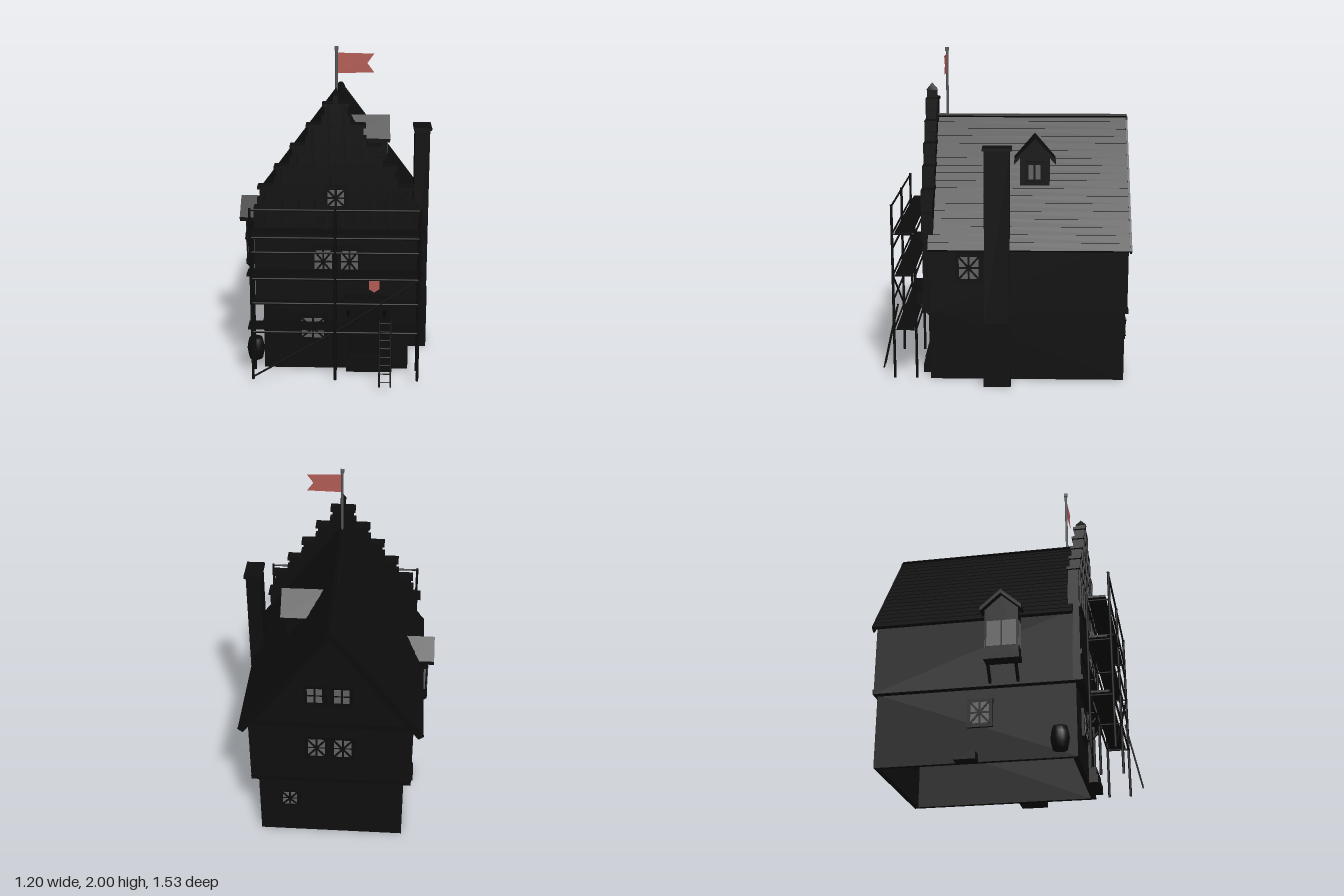
import * as THREE from 'three';

const CX = 0.015; // ridge line of the house

function makeMaterials() {
  const make = (name, color, side = THREE.FrontSide) => {
    const m = new THREE.MeshStandardMaterial({ color, side });
    m.name = name;
    return m;
  };
  return {
    wall: make('sooty wall', 0x0e0e0e),
    roof: make('black tile', 0x0d0d0d),
    wood: make('dark timber', 0x0c0c0c),
    glass: make('grey glass', 0x626264),
    iron: make('grey iron', 0x58585c),
    red: make('faded red', 0xb35c55, THREE.DoubleSide),
  };
}

export function createModel() {
  const M = makeMaterials();
  const root = new THREE.Group();
  root.name = 'gabledHouse';

  const add = (name, geo, mat, parent = root) => {
    const mesh = new THREE.Mesh(geo, mat);
    mesh.name = name;
    parent.add(mesh);
    return mesh;
  };
  // box given by its lower and upper limits on each axis
  const block = (name, mat, x0, x1, y0, y1, z0, z1, parent = root) => {
    const m = add(name, new THREE.BoxGeometry(x1 - x0, y1 - y0, z1 - z0), mat, parent);
    m.position.set((x0 + x1) / 2, (y0 + y1) / 2, (z0 + z1) / 2);
    return m;
  };
  // round bar between two points
  const bar = (name, mat, a, b, r = 0.007, parent = root) => {
    const p = new THREE.Vector3(...a), d = new THREE.Vector3(...b).sub(p);
    const m = add(name, new THREE.CylinderGeometry(r, r, d.length(), 8), mat, parent);
    m.position.copy(p).addScaledVector(d, 0.5);
    m.quaternion.setFromUnitVectors(new THREE.Vector3(0, 1, 0), d.normalize());
    return m;
  };
  const shape = (pts) => new THREE.Shape(pts.map((p) => new THREE.Vector2(...p)));
  const extrude = (s, depth) => new THREE.ExtrudeGeometry(s, { depth, bevelEnabled: false });
  const group = (name, parent = root) => {
    const g = new THREE.Group();
    g.name = name;
    parent.add(g);
    return g;
  };

  // Ground floor: four walls, open underneath
  const plan = shape([[-0.43, -0.45], [0.46, -0.45], [0.46, 0.735], [-0.43, 0.735]]);
  plan.holes.push(new THREE.Path([[-0.4, -0.42], [-0.4, 0.705], [0.43, 0.705], [0.43, -0.42]].map((p) => new THREE.Vector2(...p))));
  add('groundFloorWalls', extrude(plan, 0.45), M.wall).rotation.x = -Math.PI / 2;

  // Upper floors with the gabled attic
  add('upperFloors', extrude(shape([[-0.475, 0.44], [0.505, 0.44], [0.505, 0.89], [CX, 1.55], [-0.475, 0.89]]), 1.195), M.wall).position.z = -0.745;
  block('upperFront', M.wall, -0.475, 0.505, 0.44, 0.93, 0.44, 0.485);
  for (const y of [0.44, 0.6, 0.9]) block('frontBeam', M.wood, -0.478, 0.508, y, y + 0.03, 0.48, 0.495);
  block('backGableBeam', M.wood, -0.475, 0.505, 0.88, 0.92, -0.755, -0.74);
  block('backJettyBeam', M.wood, -0.475, 0.505, 0.44, 0.47, -0.752, -0.74);

  // Roof: overlapping tile courses on both slopes
  const roof = group('roof');
  const angle = Math.atan2(0.735, 0.55), len = 0.918, rows = 18, step = len / rows;
  for (const s of [-1, 1]) {
    for (let i = 0; i < rows; i++) {
      const t = (i + 0.5) * step, front = i > rows - 4 ? 0.45 : 0.42;
      const c = add('tileCourse', new THREE.BoxGeometry(step + 0.008, 0.018, front + 0.755), M.roof, roof);
      c.position.set(
        CX + s * (t * Math.cos(angle) - 0.012 * Math.sin(angle)),
        1.587 - t * Math.sin(angle) - 0.012 * Math.cos(angle),
        (front - 0.755) / 2);
      c.rotation.z = -s * (angle - 0.06);
    }
    const board = add('bargeBoard', new THREE.BoxGeometry(len, 0.04, 0.012), M.wood, roof);
    board.position.set(CX + s * 0.262, 1.205, -0.754);
    board.rotation.z = -s * angle;
  }

  // Stepped front gable with caps and pilasters
  const gable = group('steppedGable');
  [[0.08, 1.69], [0.175, 1.565], [0.27, 1.44], [0.365, 1.315], [0.465, 1.19]].forEach(([h, top], i) => {
    const bottom = i === 4 ? 0.9 : top - 0.14;
    block('gableStep', M.wall, CX - h + 0.014, CX + h - 0.014, bottom, top - 0.015, 0.42, 0.485, gable);
    block('gableCap', M.wall, CX - h, CX + h, top - 0.018, top, 0.415, 0.493, gable);
    for (const s of [-1, 1]) {
      const x = CX + s * (h - 0.035);
      block('pilaster', M.wall, x - 0.012, x + 0.012, 0.93, top - 0.015, 0.48, 0.495, gable);
      const foot = CX + s * (h - 0.01);
      block('stepFoot', M.wall, foot - 0.014, foot + 0.014, top - 0.13, top - 0.075, 0.425, 0.483, gable);
    }
  });
  block('gableShoulder', M.wall, CX - 0.49, CX + 0.49, 0.9, 1.06, 0.42, 0.485, gable);
  block('pinnacle', M.wall, CX - 0.016, CX + 0.016, 1.68, 1.74, 0.425, 0.49, gable);
  const tip = add('pinnacleTip', new THREE.ConeGeometry(Math.SQRT1_2, 1, 4).rotateY(Math.PI / 4), M.wall, gable);
  tip.scale.set(0.036, 0.045, 0.07);
  tip.position.set(CX, 1.76, 0.458);

  // Windows: frame, panes and optional diagonal lead bars
  const makeWindow = (x, y, z, turn, w, h, star = true, cols = 2, rowsN = 2) => {
    const g = group('window');
    g.position.set(x, y, z);
    g.rotation.y = turn;
    const inner = group('windowBody', g);
    inner.position.z = -0.013;
    block('frame', M.wood, -w / 2 - 0.016, w / 2 + 0.016, -h / 2 - 0.016, h / 2 + 0.016, -0.03, 0.03, inner);
    const cw = w / cols, ch = h / rowsN, gap = 0.006;
    for (let i = 0; i < cols; i++) for (let j = 0; j < rowsN; j++) {
      const px = -w / 2 + i * cw, py = -h / 2 + j * ch;
      block('pane', M.glass, px + gap, px + cw - gap, py + gap, py + ch - gap, -0.033, 0.033, inner);
    }
    if (star) for (const s of [-1, 1]) {
      const b = add('leadBar', new THREE.BoxGeometry(Math.hypot(w, h) * 0.96, 0.011, 0.006), M.wood, inner);
      b.position.z = 0.034;
      b.rotation.z = s * Math.atan2(h, w);
    }
  };
  const P = Math.PI;
  makeWindow(-0.127, 0.278, 0.45, 0, 0.15, 0.14);
  makeWindow(CX, 1.127, 0.488, 0, 0.11, 0.11);
  makeWindow(0.27, 0.29, -0.735, P, 0.1, 0.11);
  makeWindow(-0.43, 0.29, -0.11, -P / 2, 0.12, 0.14);
  makeWindow(0.505, 0.728, 0.208, P / 2, 0.13, 0.15);
  for (const x of [-0.06, 0.097]) {
    makeWindow(x, 0.728, 0.488, 0, 0.115, 0.15);
    makeWindow(x, 0.73, -0.745, P, 0.115, 0.14);
    makeWindow(x + 0.006, 1.13, -0.745, P, 0.1, 0.11, false);
  }

  // Gable roof shell, ridge along x, profile in z and y
  const smallRoof = (name, x0, x1, zc, half, eave, ridge) => {
    const t = 0.025;
    const g = extrude(shape([[-half, eave - t], [0, ridge - t], [half, eave - t], [half, eave], [0, ridge], [-half, eave]]), x1 - x0);
    const m = add(name, g, M.roof);
    m.rotation.y = P / 2;
    m.position.set(x0, 0, zc);
  };
  const gabledBox = (name, x0, x1, zc, half, bottom, eave, ridge) => {
    const m = add(name, extrude(shape([[-half, bottom], [half, bottom], [half, eave], [0, ridge], [-half, eave]]), x1 - x0), M.wall);
    m.rotation.y = P / 2;
    m.position.set(x0, 0, zc);
  };

  // Dormer on the +x slope
  gabledBox('dormer', 0.06, 0.31, -0.185, 0.09, 1.15, 1.37, 1.46);
  smallRoof('dormerRoof', 0.06, 0.345, -0.185, 0.125, 1.35, 1.48);
  makeWindow(0.31, 1.275, -0.182, P / 2, 0.085, 0.1, false, 2, 1);

  // Oriel on the -x wall
  gabledBox('oriel', -0.563, -0.46, 0.038, 0.1, 0.57, 0.89, 0.975);
  smallRoof('orielRoof', -0.6, -0.42, 0.038, 0.123, 0.89, 0.998);
  block('orielSill', M.wood, -0.568, -0.46, 0.57, 0.6, -0.068, 0.144);
  for (const [a, b] of [[-0.05, 0.034], [0.042, 0.126]]) block('orielFrontPane', M.glass, -0.567, -0.56, 0.65, 0.81, a, b);
  for (const z of [-0.062, 0.138]) {
    block('orielSidePane', M.glass, -0.552, -0.49, 0.65, 0.81, z - 0.003, z + 0.003);
    bar('orielBracket', M.wood, [-0.56, 0.57, z > 0 ? 0.12 : -0.045], [-0.465, 0.455, z > 0 ? 0.12 : -0.045], 0.01);
  }

  // Chimney against the +x wall
  block('chimneyBase', M.wall, 0.45, 0.59, 0, 0.4, -0.045, 0.12);
  block('chimneyShaft', M.wall, 0.495, 0.586, 0.39, 1.45, -0.037, 0.114);
  block('chimneyCap', M.wall, 0.486, 0.597, 1.445, 1.463, -0.05, 0.123);

  // Front door, steps, canopy and shield
  block('door', M.wood, 0.12, 0.33, 0.09, 0.41, 0.44, 0.458);
  for (const x of [0.1, 0.335]) block('doorPost', M.wood, x - 0.015, x + 0.015, 0, 0.435, 0.44, 0.468);
  block('lowerStep', M.wall, 0.08, 0.36, 0, 0.05, 0.44, 0.505);
  block('upperStep', M.wall, 0.1, 0.34, 0.05, 0.1, 0.44, 0.495);
  block('canopy', M.wood, 0.066, 0.336, 0.435, 0.508, 0.44, 0.558);
  for (const x of [0.09, 0.312]) bar('canopyBrace', M.wood, [x, 0.44, 0.535], [x, 0.35, 0.452], 0.009);
  add('shield', extrude(shape([[0.215, 0.61], [0.215, 0.552], [0.247, 0.53], [0.28, 0.552], [0.28, 0.61]]), 0.008), M.red).position.z = 0.496;

  // Side step and barrel
  block('sideStep', M.wall, -0.5, -0.42, 0, 0.045, -0.25, -0.12);
  const barrel = [[0, 0], [0.042, 0], [0.05, 0.035], [0.055, 0.067], [0.05, 0.1], [0.042, 0.135], [0, 0.135]];
  add('barrel', new THREE.LatheGeometry(barrel.map((p) => new THREE.Vector2(...p)), 16), M.wood).position.set(-0.493, 0.022, 0.36);

  // Scaffold
  const scaffold = group('scaffold');
  const IN = 0.53, OUT = 0.665, X = [-0.48, CX, 0.51];
  for (const x of X) {
    bar('innerPole', M.wood, [x, 0.025, IN], [x, 0.975, IN], 0.008, scaffold);
    bar('outerPole', M.wood, [x, 0.025, OUT], [x, 1.11, OUT], 0.008, scaffold);
  }
  for (const y of [0.335, 0.675, 0.93]) {
    block('plank', M.wood, -0.508, 0.535, y + 0.005, y + 0.018, 0.542, 0.645, scaffold);
    for (const x of X) bar('crossLedger', M.wood, [x, y, IN], [x, y, OUT], 0.006, scaffold);
    for (const z of [IN, OUT]) bar('longLedger', M.wood, [X[0], y, z], [X[2], y, z], 0.006, scaffold);
  }
  for (const y of [0.52, 0.84, 1.1]) bar('guardRail', M.wood, [X[0], y, OUT], [X[2], y, OUT], 0.006, scaffold);
  bar('lowerBrace', M.wood, [X[0], 0.04, OUT], [X[1], 0.34, OUT], 0.006, scaffold);
  bar('upperBrace', M.wood, [X[1], 0.34, OUT], [X[2], 0.675, OUT], 0.006, scaffold);

  // Ladder
  const ladder = group('ladder');
  for (const x of [0.28, 0.347]) bar('ladderRail', M.wood, [x, 0.025, 0.756], [x, 0.42, 0.668], 0.005, ladder);
  for (let i = 0; i < 8; i++) {
    const t = (i + 0.6) / 8, y = 0.025 + 0.395 * t, z = 0.756 - 0.088 * t;
    bar('rung', M.wood, [0.28, y, z], [0.347, y, z], 0.004, ladder);
  }

  // Flagpole and swallowtail flag
  bar('flagpole', M.iron, [CX, 1.57, 0.362], [CX, 1.985, 0.362], 0.008);
  block('poleKnob', M.iron, CX - 0.011, CX + 0.011, 1.978, 2, 0.351, 0.373);
  add('flag', new THREE.ShapeGeometry(shape([[0.02, 1.845], [0.235, 1.85], [0.195, 1.905], [0.235, 1.96], [0.02, 1.965]])), M.red).position.z = 0.362;

  return root;
}
